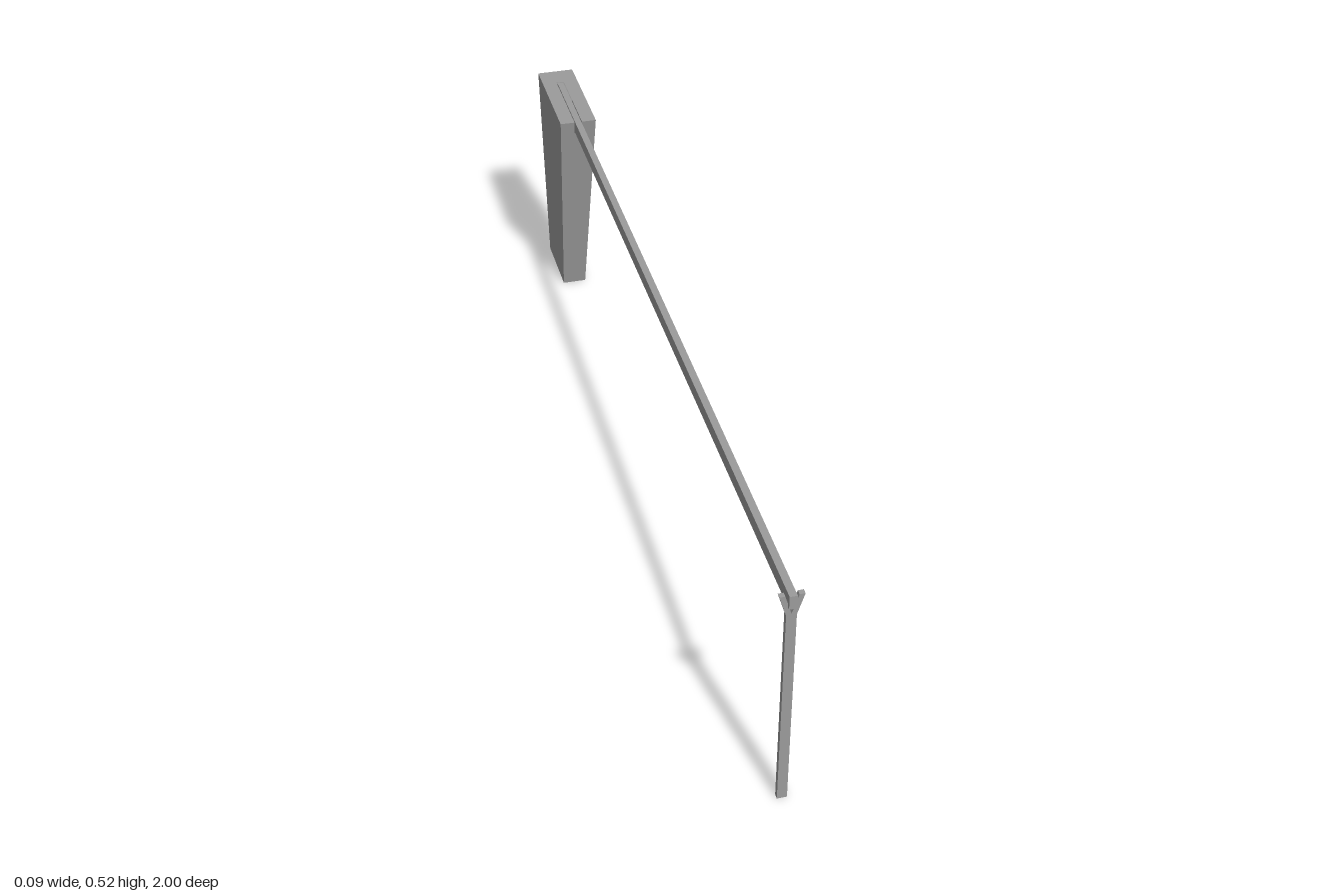
import * as THREE from 'three';

const material = new THREE.MeshStandardMaterial({ color: 0x9b9b9b, flatShading: true, side: THREE.DoubleSide });

function addMesh(group, name, geometry) {
  const mesh = new THREE.Mesh(geometry, material);
  mesh.name = name;
  group.add(mesh);
  return mesh;
}

const HEIGHT = 0.517;
const BACK = -1;
const halfWidthAt = (y) => 0.028 + 0.015 * y / HEIGHT;
const frontAt = (y) => -0.83 + 0.095 * y / HEIGHT;

// Tapered hollow pier, open underneath, with a slot for the beam in its lid and front
function pierGeometry(slotHalf, slotFloor, slotEnd) {
  const positions = [];
  // Flat panel, corners counter-clockwise from outside; flatten maps a corner to 2D
  const panel = (corners, flatten) => {
    const flat = corners.map(([x, y, z]) => new THREE.Vector2(...flatten(x, y, z)));
    for (const triangle of THREE.ShapeUtils.triangulateShape(flat, [])) {
      for (const i of triangle) positions.push(...corners[i]);
    }
  };
  const front = (x, y) => [x, y, frontAt(y)];
  const back = (x, y) => [x, y, BACK];
  const b = halfWidthAt(0), t = halfWidthAt(HEIGHT), s = slotHalf, h = HEIGHT;

  panel([front(-b, 0), front(b, 0), front(t, h), front(s, h), front(s, slotFloor),
    front(-s, slotFloor), front(-s, h), front(-t, h)], (x, y) => [x, y]);
  panel([front(-t, h), front(-s, h), [-s, h, slotEnd], [s, h, slotEnd], front(s, h),
    front(t, h), back(t, h), back(-t, h)], (x, y, z) => [x, -z]);
  panel([back(b, 0), back(-b, 0), back(-t, h), back(t, h)], (x, y) => [-x, y]);
  panel([front(b, 0), back(b, 0), back(t, h), front(t, h)], (x, y, z) => [-z, y]);
  panel([back(-b, 0), front(-b, 0), front(-t, h), back(-t, h)], (x, y, z) => [z, y]);

  const geometry = new THREE.BufferGeometry();
  geometry.setAttribute('position', new THREE.Float32BufferAttribute(positions, 3));
  geometry.computeVertexNormals();
  return geometry;
}

export function createModel() {
  const model = new THREE.Group();
  model.name = 'beamOnForkedPost';

  // Tapered pier at the back
  addMesh(model, 'pier', pierGeometry(0.009, 0.486, -0.942));

  // Long beam, lying in the slot of the pier and the fork of the post
  const beam = addMesh(model, 'beam', new THREE.BoxGeometry(0.015, 0.03, 1.94));
  beam.position.set(0, 0.502, 0.03);

  // Y-shaped post: one half outline mirrored about the centre
  const half = [[0.01, 0], [0.01, 0.467], [0.024, 0.513], [0.013, 0.513]];
  const outline = [
    ...half, [0, 0.47],
    ...half.map(([x, y]) => [-x, y]).reverse(),
  ].map(([x, y]) => new THREE.Vector2(x, y));
  const post = addMesh(model, 'forkedPost',
    new THREE.ExtrudeGeometry(new THREE.Shape(outline), { depth: 0.011, bevelEnabled: false }));
  post.position.z = 0.982;

  return model;
}
